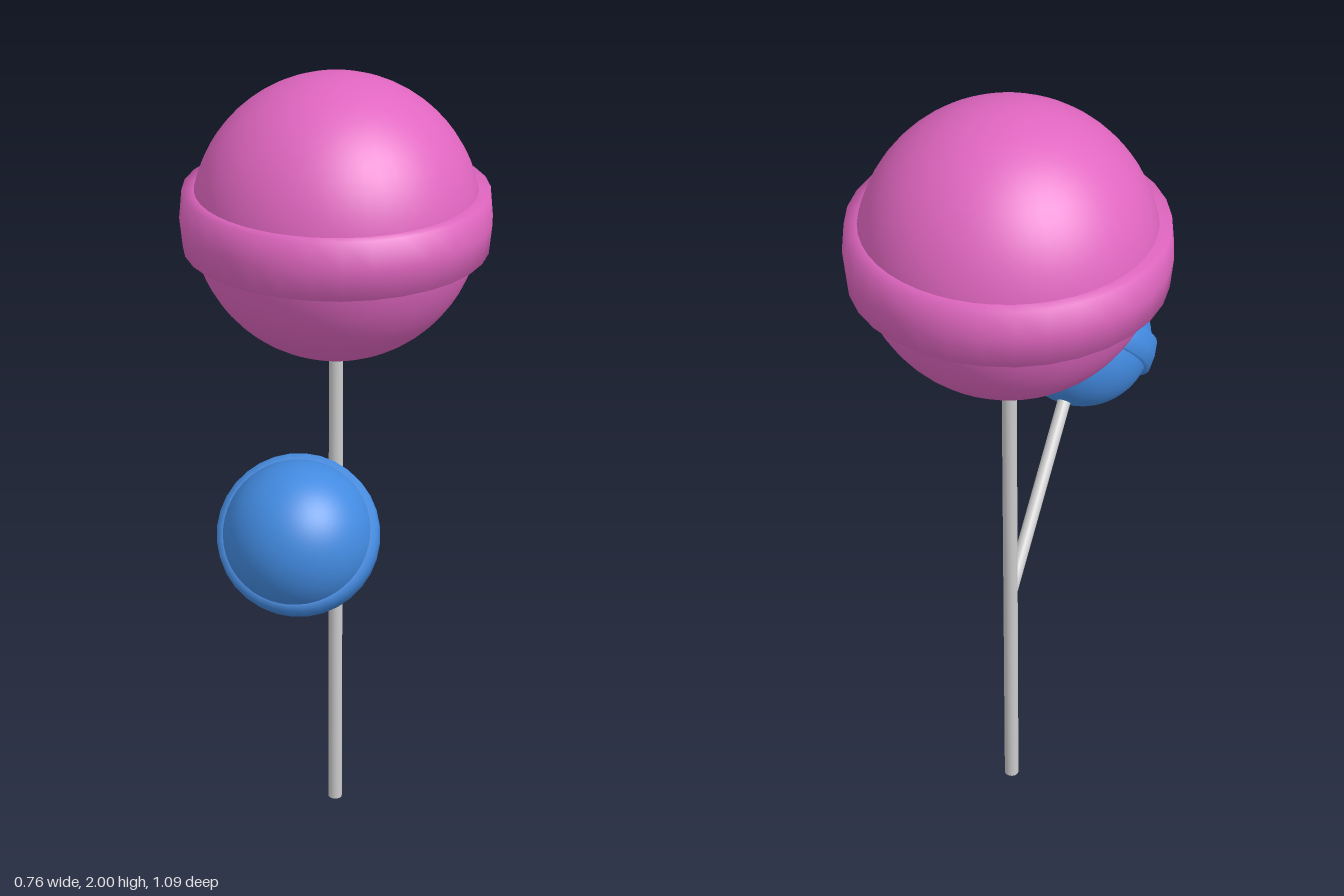
import * as THREE from 'three';

const stickMat = new THREE.MeshStandardMaterial({ color: 0xcccccc });
const pinkMat = new THREE.MeshStandardMaterial({ color: 0xe066c0 });
const blueMat = new THREE.MeshStandardMaterial({ color: 0x428ae0 });

// Ball with a raised band on a stick; the group's origin is the foot of the stick.
function lollipop(name, material, r, stickRadius, centreHeight) {
  const group = new THREE.Group();
  group.name = name;
  const add = (geometry, mat, part, y) => {
    const mesh = new THREE.Mesh(geometry, mat);
    mesh.name = part;
    mesh.position.y = y;
    group.add(mesh);
  };

  add(new THREE.SphereGeometry(r, 48, 32), material, name + 'Ball', centreHeight);

  // band: a slightly bulged rim, softly shaded over its edges
  const profile = [[0.95, -0.207], [1.062, -0.207], [1.082, 0], [1.062, 0.207], [0.95, 0.207]]
    .map(([x, y]) => new THREE.Vector2(x * r, y * r));
  add(new THREE.LatheGeometry(profile, 32), material, name + 'Band', centreHeight);

  // stick ends just inside the ball
  const length = centreHeight - r * 0.9;
  add(new THREE.CylinderGeometry(stickRadius, stickRadius, length, 16), stickMat, name + 'Stick', length / 2);
  return group;
}

export function createModel() {
  const model = new THREE.Group();
  model.name = 'twinLollipop';

  const large = lollipop('large', pinkMat, 0.352, 0.018, 1.648);
  large.position.z = -0.165;

  // small lollipop branches forward from the main stick
  const foot = new THREE.Vector3(0, 0.618, -0.165);
  const dir = new THREE.Vector3(0, 1.048, 0.37).sub(foot);
  const small = lollipop('small', blueMat, 0.178, 0.017, dir.length());
  small.position.copy(foot);
  small.rotation.x = Math.atan2(dir.z, dir.y);

  model.add(large, small);
  return model;
}
